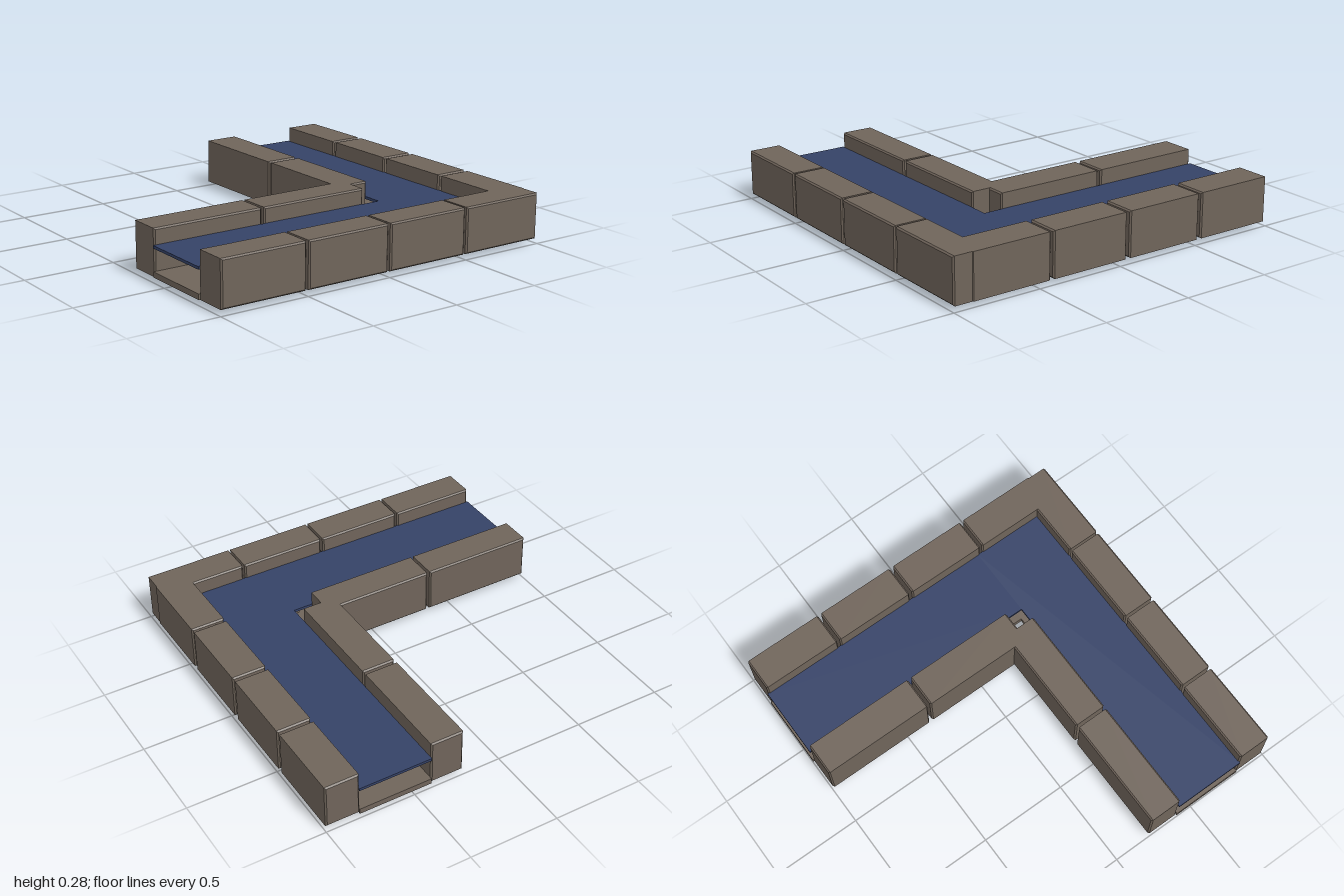
import * as THREE from 'three';

const stone = new THREE.MeshStandardMaterial({ color: 0x6f645a });
stone.name = 'stone';
const water = new THREE.MeshStandardMaterial({ color: 0x354267 });
water.name = 'water';

// Box with chamfered edges, given by its extents in x and z
function block(name, x0, x1, z0, z1) {
  const b = 0.008, y0 = 0.03, y1 = 0.28;
  const s = new THREE.Shape();
  s.moveTo(x0 + b, y0 + b);
  s.lineTo(x1 - b, y0 + b);
  s.lineTo(x1 - b, y1 - b);
  s.lineTo(x0 + b, y1 - b);
  s.closePath();
  const g = new THREE.ExtrudeGeometry(s, {
    depth: z1 - z0 - 2 * b, bevelEnabled: true, bevelSize: b, bevelThickness: b, bevelSegments: 1,
  });
  g.translate(0, 0, z0 + b);
  const m = new THREE.Mesh(g, stone);
  m.name = name;
  return m;
}

// Plain slab given by its extents
function slab(name, mat, x0, x1, y0, y1, z0, z1) {
  const m = new THREE.Mesh(new THREE.BoxGeometry(x1 - x0, y1 - y0, z1 - z0), mat);
  m.position.set((x0 + x1) / 2, (y0 + y1) / 2, (z0 + z1) / 2);
  m.name = name;
  return m;
}

export function createModel() {
  const model = new THREE.Group();
  model.name = 'canalCorner';

  // Outer curb along the front
  for (const [a, b] of [[-0.993, -0.508], [-0.493, -0.009], [0.006, 0.49], [0.503, 0.993]])
    model.add(block('frontCurb', a, b, 0.808, 0.997));

  // Outer curb along the left side
  for (const [a, b] of [[-0.993, -0.537], [-0.52, -0.061], [-0.042, 0.416], [0.432, 0.893]])
    model.add(block('sideCurb', 0.808, 0.997, a, b));

  // Inner curb, the same two stones on each arm
  for (const [a, b] of [[-0.993, -0.357], [-0.34, 0.296]]) {
    model.add(block('innerFrontCurb', a, b, 0.215, 0.402));
    model.add(block('innerSideCurb', 0.215, 0.402, a, b));
  }

  // Channel bed and water, one strip on each arm
  const strips = [['Bed', stone, 0.03, 0.06], ['Water', water, 0.18, 0.195]];
  for (const [name, mat, y0, y1] of strips) {
    model.add(slab('front' + name, mat, -1, 0.812, y0, y1, 0.402, 0.812));
    model.add(slab('side' + name, mat, 0.402, 0.812, y0, y1, -1, 0.402));
  }

  // Flattened stones set into the bed
  const spots = [[-0.6, 0.6], [-0.12, 0.61], [0.36, 0.6], [0.6, 0.37], [0.61, -0.11], [0.6, -0.6]];
  spots.forEach(([x, z], i) => {
    const g = new THREE.DodecahedronGeometry(1, 0);
    g.rotateZ(0.35);
    g.rotateY(i * 1.3);
    g.scale(0.11, 0.053, 0.085);
    g.computeVertexNormals();
    const m = new THREE.Mesh(g, stone);
    m.position.set(x, 0.055, z);
    m.name = 'bedStone';
    model.add(m);
  });

  return model;
}
